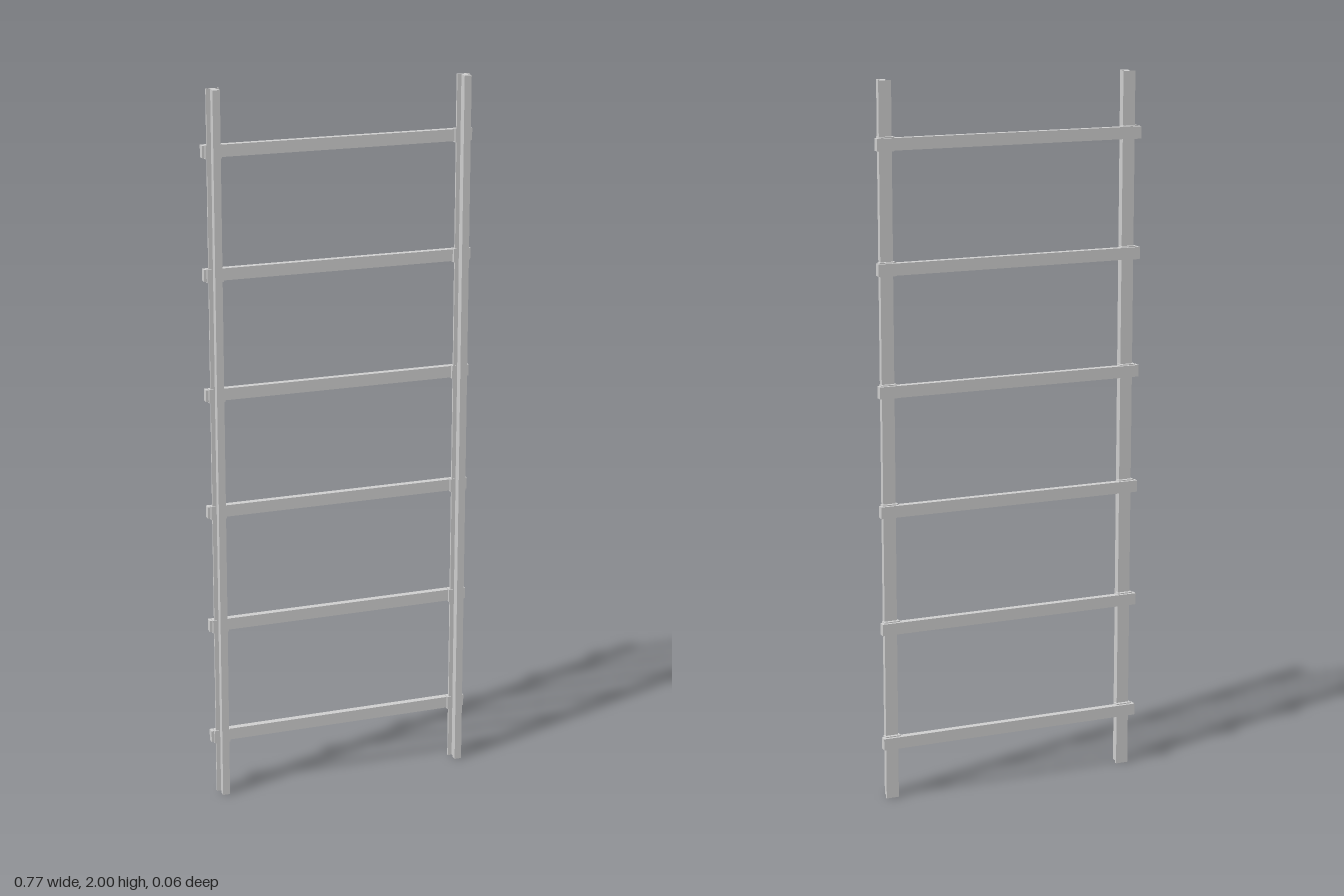
import * as THREE from 'three';

// Extrude a plan outline of [x, z] points upwards from y = 0
function extrudeUp(points, height) {
  const shape = new THREE.Shape(points.map(([x, z]) => new THREE.Vector2(x, -z)));
  const geometry = new THREE.ExtrudeGeometry(shape, { depth: height, bevelEnabled: false });
  return geometry.rotateX(-Math.PI / 2);
}

// Complete a half outline by mirroring it across x = 0
function mirrored(half) {
  return [...half, ...half.slice().reverse().map(([x, z]) => [-x, z])];
}

export function createModel() {
  const group = new THREE.Group();
  const steel = new THREE.MeshStandardMaterial({ color: 0xd0d0d0 });
  steel.name = 'lightGreySteel';

  const railX = 0.354;
  const rungCount = 6;
  const spacing = 2 / rungCount;
  const clipHeight = 0.038;

  // Rail section: wide rear flange, narrow web, thicker front bulb
  const railGeometry = extrudeUp(mirrored([
    [0.018, -0.01], [0.018, -0.004], [0.0065, -0.004],
    [0.0065, 0.012], [0.0102, 0.012], [0.0102, 0.028],
  ]), 2);

  // Clip section: a C that wraps the rail flange and fixes it to the rung
  const clipGeometry = extrudeUp(mirrored([
    [0.0225, -0.02], [0.0225, -0.001], [0.011, -0.001],
    [0.011, -0.004], [0.018, -0.004], [0.018, -0.01],
  ]), clipHeight);

  const rungGeometry = new THREE.BoxGeometry(0.768, 0.033, 0.019);

  const add = (name, geometry, x, y, z) => {
    const mesh = new THREE.Mesh(geometry, steel);
    mesh.name = name;
    mesh.position.set(x, y, z);
    group.add(mesh);
  };

  // Side rails
  add('leftRail', railGeometry, railX, 0, 0);
  add('rightRail', railGeometry, -railX, 0, 0);

  // Rungs with a clip at each rail
  for (let i = 0; i < rungCount; i++) {
    const y = (i + 0.5) * spacing;
    add(`rung${i + 1}`, rungGeometry, 0, y, -0.0185);
    add(`leftClip${i + 1}`, clipGeometry, railX, y - clipHeight / 2, 0);
    add(`rightClip${i + 1}`, clipGeometry, -railX, y - clipHeight / 2, 0);
  }
  return group;
}
